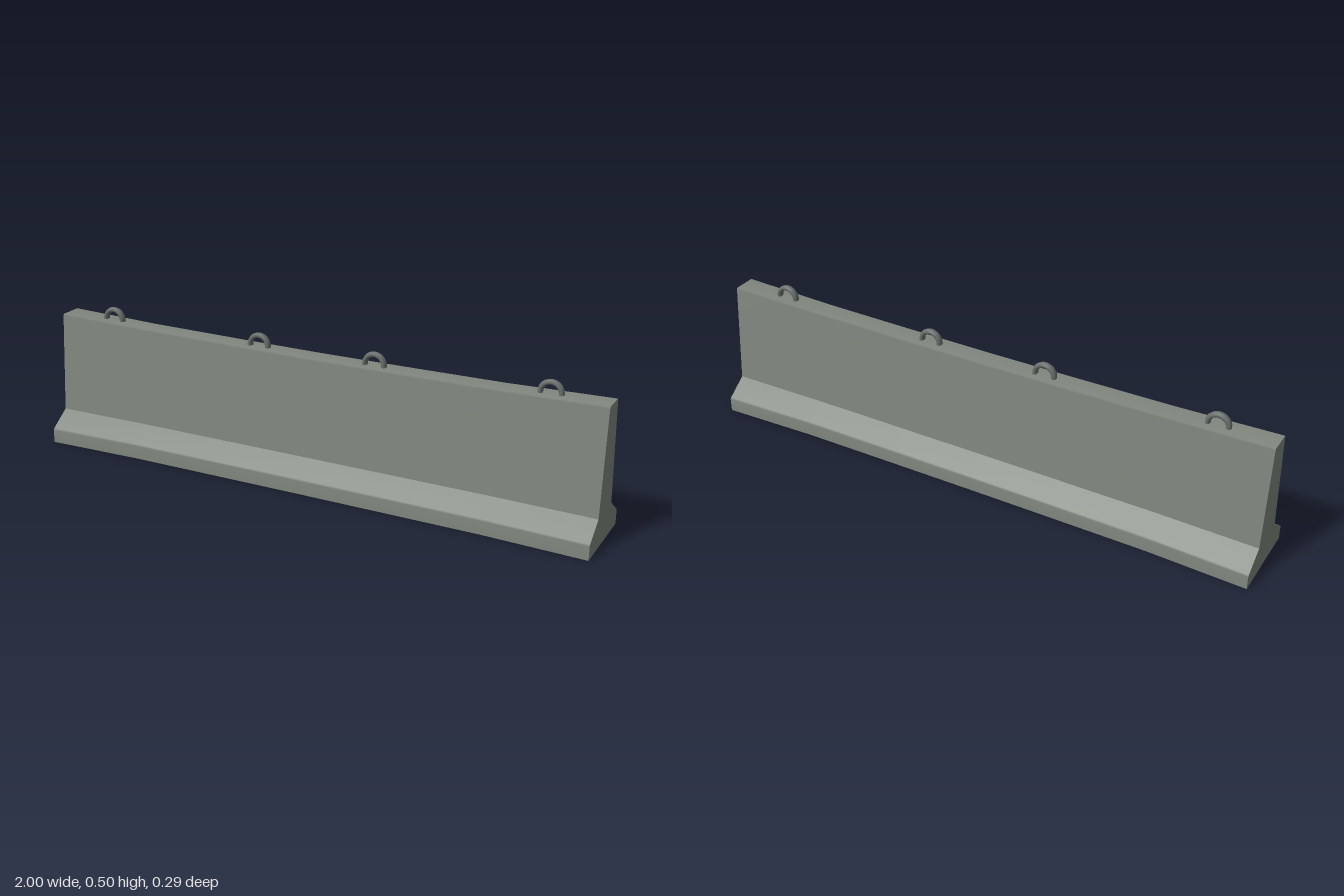
import * as THREE from 'three';

const concrete = new THREE.MeshStandardMaterial({ color: 0x81877f });
concrete.name = 'concrete';
const underside = new THREE.MeshStandardMaterial({ color: 0x474747 });
underside.name = 'dark underside';
const steel = new THREE.MeshStandardMaterial({ color: 0x6a6f6d });
steel.name = 'lifting steel';

// Half cross-section, bottom to top: [z, y]
const half = [[0.144, 0], [0.144, 0.047], [0.14, 0.053], [0.068, 0.105], [0.042, 0.454], [0.039, 0.459]];
const mirror = ([z, y]) => [-z, y];
const outline = [...half, ...half.slice().reverse().map(mirror)];

// Stations along the length: [x, width scale, drop of the top]
const side = [[1, 1, 0], [0.65, 0.91, 0.008], [0.3, 0.9, 0.011]];
const stations = [
  ...side.map(([x, s, d]) => [-x, s, d]),
  [0, 0.895, 0.0125],
  ...side.slice().reverse(),
];

function place([z, y], [x, s, drop]) {
  return [x, y > 0.2 ? y - drop : y, z * s];
}

function makeGeometry(points, index) {
  const g = new THREE.BufferGeometry();
  g.setAttribute('position', new THREE.Float32BufferAttribute(points.flat(), 3));
  g.setIndex(index);
  g.computeVertexNormals();
  return g;
}

// Smooth surface through a run of outline points, swept along the stations
function sweep(run) {
  const n = run.length;
  const points = stations.flatMap((st) => run.map((p) => place(p, st)));
  const index = [];
  for (let k = 0; k + 1 < stations.length; k++) {
    for (let i = 0; i + 1 < n; i++) {
      const a = k * n + i;
      index.push(a, a + n, a + n + 1, a, a + n + 1, a + 1);
    }
  }
  return makeGeometry(points, index);
}

// Flat end, filled in symmetric rows
function endCap(st) {
  const points = half.flatMap((p) => [place(p, st), place(mirror(p), st)]);
  const index = [];
  for (let a = 0; a + 3 < points.length; a += 2) {
    if (st[0] > 0) index.push(a, a + 1, a + 3, a, a + 3, a + 2);
    else index.push(a, a + 3, a + 1, a, a + 2, a + 3);
  }
  return makeGeometry(points, index);
}

// Lifting eye: half ring of flattened bar with short legs sunk into the top
function liftingLoop(x, y) {
  const r = 0.034;
  const points = [new THREE.Vector3(-r, -0.015, 0)];
  for (let i = 0; i <= 8; i++) {
    const a = Math.PI * (1 - i / 8);
    points.push(new THREE.Vector3(r * Math.cos(a), r * Math.sin(a), 0));
  }
  points.push(new THREE.Vector3(r, -0.015, 0));
  const path = new THREE.CatmullRomCurve3(points);
  const geometry = new THREE.TubeGeometry(path, 14, 0.009, 8);
  geometry.scale(1, 1, 1.4);
  const mesh = new THREE.Mesh(geometry, steel);
  mesh.position.set(x, y, 0);
  mesh.name = 'liftingLoop';
  return mesh;
}

export function createModel() {
  const group = new THREE.Group();
  group.name = 'roadBarrier';
  const add = (name, geometry, material) => {
    const mesh = new THREE.Mesh(geometry, material);
    mesh.name = name;
    group.add(mesh);
  };

  add('frontFoot', sweep(outline.slice(0, 4)), concrete);
  add('wall', sweep(outline.slice(3, 9)), concrete);
  add('backFoot', sweep(outline.slice(8)), concrete);
  add('underside', sweep([outline[11], outline[0]]), underside);
  add('rightEnd', endCap(stations[0]), concrete);
  add('leftEnd', endCap(stations[stations.length - 1]), concrete);

  for (const s of [-1, 1]) {
    group.add(liftingLoop(s * 0.805, 0.458), liftingLoop(s * 0.214, 0.452));
  }
  return group;
}
